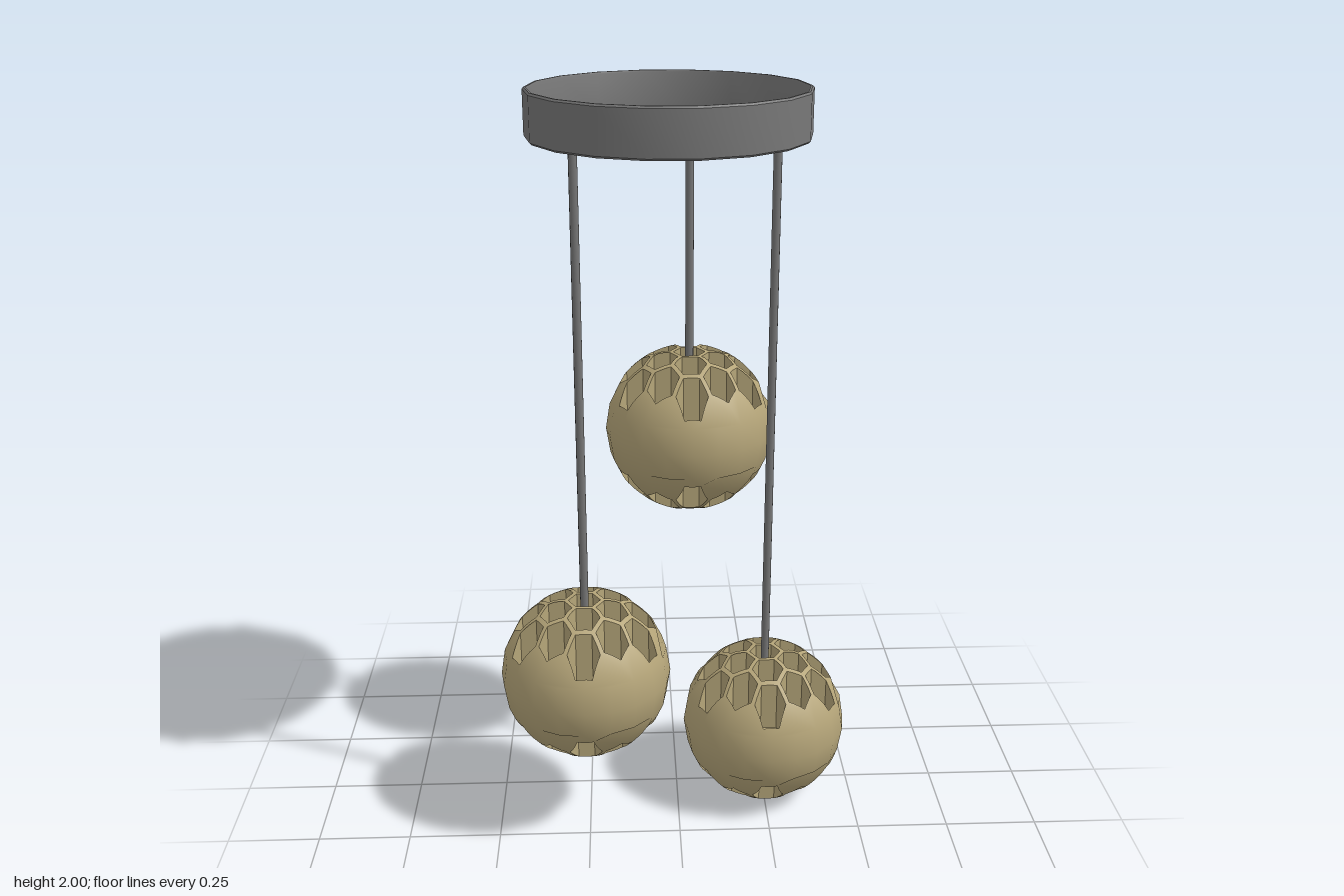
import * as THREE from 'three';
import { toCreasedNormals } from 'three/addons/utils/BufferGeometryUtils.js';

const R = 0.23;          // globe radius
const SIDES = 20;        // globe segments
const PITCH = 0.086;     // honeycomb spacing
const CELL = 0.043;      // cell corner radius
const FLOOR = 0.05;      // height of the cell floors above the globe centre
const TIP = 0.217;       // flattened pole height

const dome = (x, z) => Math.min(TIP, Math.sqrt(Math.max(0, R * R - x * x - z * z)));

// Centres of the 19 cells: one in the middle and two rings around it
function cellCentres() {
  const list = [];
  for (let q = -2; q <= 2; q++) {
    for (let s = -2; s <= 2; s++) {
      if (Math.abs(q + s) > 2) continue;
      list.push([q * PITCH * Math.sqrt(3) / 2, (s + q / 2) * PITCH]);
    }
  }
  return list;
}

// Hexagon outline with every edge divided so that it follows the dome
function hexagon([cx, cz], div = 3) {
  const corner = (k) => new THREE.Vector2(
    cx + CELL * Math.cos(k * Math.PI / 3), cz + CELL * Math.sin(k * Math.PI / 3));
  const pts = [];
  for (let k = 0; k < 6; k++) {
    for (let i = 0; i < div; i++) pts.push(corner(k).lerp(corner(k + 1), i / div));
  }
  return pts;
}

// Perforated dome surface: a flat disc with holes lifted onto the sphere
function domeGeometry(cells) {
  const edge = R * Math.cos(Math.PI / 10);
  const rim = [];
  for (let k = 0; k < SIDES; k++) {
    const a = k * 2 * Math.PI / SIDES;
    rim.push(new THREE.Vector2(edge * Math.cos(a), edge * Math.sin(a)));
  }
  const shape = new THREE.Shape(rim);
  cells.forEach((c) => shape.holes.push(new THREE.Path(hexagon(c))));
  const geo = new THREE.ShapeGeometry(shape).rotateX(-Math.PI / 2);
  const pos = geo.attributes.position;
  const nor = geo.attributes.normal;
  const n = new THREE.Vector3();
  for (let i = 0; i < pos.count; i++) {
    const x = pos.getX(i), z = pos.getZ(i);
    pos.setY(i, dome(x, z));
    n.set(x, dome(x, z), z).normalize();
    nor.setXYZ(i, n.x, n.y, n.z);
  }
  return geo;
}

// Upright cell walls facing inward, with a flat floor in each cell
function cellGeometry(cells) {
  const v = [];
  for (const c of cells) {
    const pts = hexagon(c);
    pts.forEach((a, i) => {
      const b = pts[(i + 1) % pts.length];
      const a0 = [a.x, FLOOR, a.y], b0 = [b.x, FLOOR, b.y];
      const a1 = [a.x, dome(a.x, a.y), a.y], b1 = [b.x, dome(b.x, b.y), b.y];
      v.push(...a0, ...b0, ...b1, ...a0, ...b1, ...a1);
      v.push(c[0], FLOOR, c[1], ...b0, ...a0);
    });
  }
  const geo = new THREE.BufferGeometry();
  geo.setAttribute('position', new THREE.Float32BufferAttribute(v, 3));
  geo.computeVertexNormals();
  return geo;
}

export function createModel() {
  const model = new THREE.Group();
  const tan = new THREE.MeshStandardMaterial({ color: 0xb5a579 });
  tan.name = 'tan';
  const grey = new THREE.MeshStandardMaterial({ color: 0x787878 });
  grey.name = 'grey';

  const add = (parent, name, geo, mat) => {
    const mesh = new THREE.Mesh(geo, mat);
    mesh.name = name;
    parent.add(mesh);
    return mesh;
  };

  // Ceiling plate: a shallow dish open at the top
  const profile = [[0, 1.88], [0.35, 1.88], [0.355, 1.885], [0.355, 1.995], [0.351, 2],
    [0.346, 2], [0.344, 1.995], [0.344, 1.888], [0, 1.888]].map((p) => new THREE.Vector2(...p));
  const dish = toCreasedNormals(new THREE.LatheGeometry(profile, 18), 0.6);
  const plate = add(model, 'ceilingPlate', dish, grey);
  plate.position.set(-0.02, 0, 0.02);
  plate.rotation.y = Math.PI / 2;

  // Globe parts shared by all pendants
  const cells = cellCentres();
  const domeGeo = domeGeometry(cells);
  const cellGeo = cellGeometry(cells);
  const bandGeo = new THREE.SphereGeometry(R, SIDES, 2, 0, Math.PI * 2, Math.PI * 0.4, Math.PI * 0.2);

  // Pendants: a rod and a globe pierced by cells above and below
  const pendants = [[-0.253, 0.46, 0.147], [0.04, 1.06, -0.145], [0.25, 0.22, 0.018]];
  for (const [x, y, z] of pendants) {
    const pendant = new THREE.Group();
    pendant.name = 'pendant';
    pendant.position.set(x, y, z);
    model.add(pendant);

    const bottom = FLOOR, top = 1.905 - y;
    const rod = add(pendant, 'rod', new THREE.CylinderGeometry(0.011, 0.011, top - bottom, 12), grey);
    rod.position.y = (top + bottom) / 2;

    add(pendant, 'globeBand', bandGeo, tan);
    for (const flip of [0, Math.PI]) {
      const half = new THREE.Group();
      half.name = flip ? 'lowerHoneycomb' : 'upperHoneycomb';
      half.rotation.x = flip;
      pendant.add(half);
      add(half, 'honeycombShell', domeGeo, tan);
      add(half, 'honeycombCells', cellGeo, tan);
    }
  }
  return model;
}
